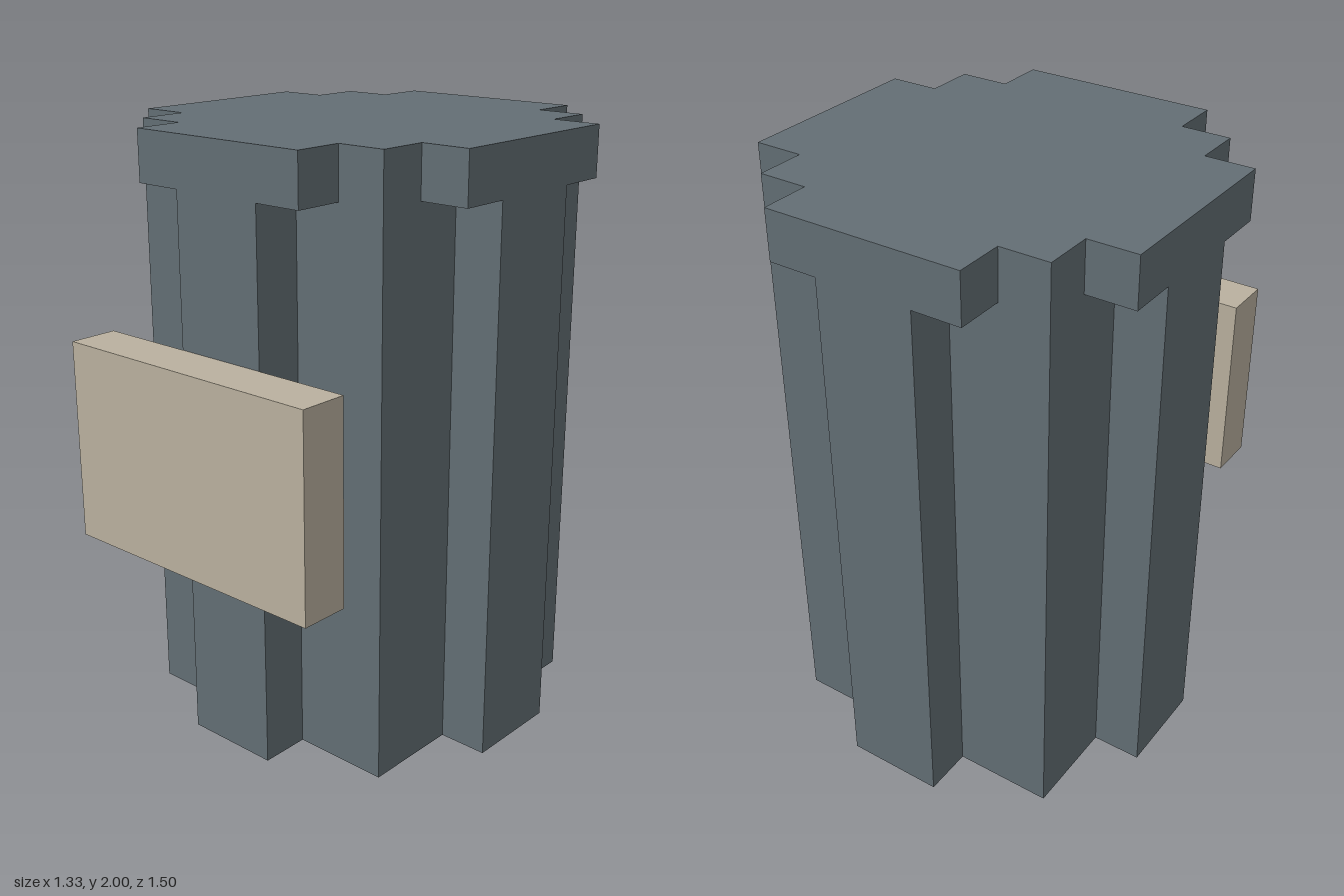
import * as THREE from 'three';

const U = 1 / 6; // size of one block step

// Stepped outline, mirrored into four quadrants from corner points (in steps)
function steppedShape(corners) {
  const back = [...corners].reverse();
  const points = [
    ...corners,
    ...back.map(([x, y]) => [-x, y]),
    ...corners.map(([x, y]) => [-x, -y]),
    ...back.map(([x, y]) => [x, -y]),
  ];
  return new THREE.Shape(points.map(([x, y]) => new THREE.Vector2(x * U, y * U)));
}

// Upright prism of an outline between two heights (in steps)
function prism(name, corners, bottom, top, material) {
  const geometry = new THREE.ExtrudeGeometry(steppedShape(corners), {
    depth: (top - bottom) * U,
    bevelEnabled: false,
  });
  geometry.rotateX(-Math.PI / 2);
  const mesh = new THREE.Mesh(geometry, material);
  mesh.name = name;
  mesh.position.set(0, bottom * U, -U / 2);
  return mesh;
}

export function createModel() {
  const slate = new THREE.MeshStandardMaterial({ color: 0x636e74 });
  slate.name = 'slate grey';
  const beige = new THREE.MeshStandardMaterial({ color: 0xbab19f });
  beige.name = 'beige';

  const group = new THREE.Group();
  group.name = 'ribbedBin';

  // Ribbed body
  group.add(prism('body', [[4, 1], [3, 1], [3, 3], [1, 3], [1, 4]], 0, 11, slate));

  // Wider lid, one step thick
  group.add(prism('lid', [[4, 2], [3, 2], [3, 3], [2, 3], [2, 4]], 11, 12, slate));

  // Front panel
  const panel = new THREE.Mesh(new THREE.BoxGeometry(6 * U, 4 * U, U), beige);
  panel.name = 'frontPanel';
  panel.position.set(0, 6 * U, 4 * U);
  group.add(panel);

  return group;
}
